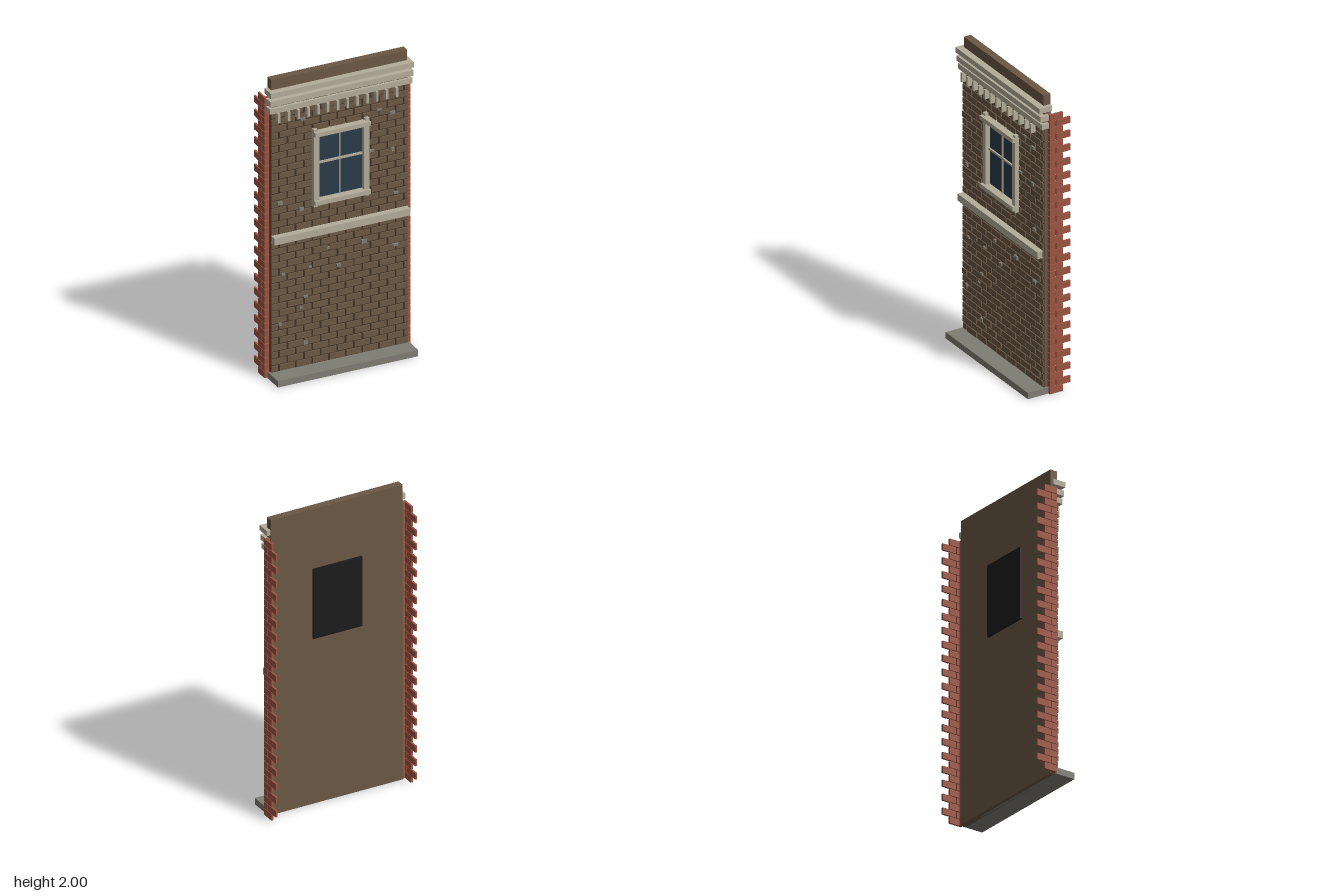
import * as THREE from 'three';
import { mergeGeometries } from 'three/addons/utils/BufferGeometryUtils.js';

const mat = (name, color) => {
  const m = new THREE.MeshStandardMaterial({ color });
  m.name = name;
  return m;
};

// box geometry from its minimum and maximum on each axis
function span(x0, x1, y0, y1, z0, z1) {
  const g = new THREE.BoxGeometry(x1 - x0, y1 - y0, z1 - z0);
  g.translate((x0 + x1) / 2, (y0 + y1) / 2, (z0 + z1) / 2);
  return g;
}

export function createModel() {
  const group = new THREE.Group();
  group.name = 'brickFacade';
  const brown = mat('brown brick', 0x6b5845);
  const mortar = mat('dark mortar', 0x3d3228);
  const red = mat('red brick', 0x9c5442);
  const stone = mat('pale stone', 0xb5ad99);
  const grey = mat('grey stone', 0x7f7d74);
  const glass = mat('window glass', 0x2b3b4a);
  const black = mat('black panel', 0x1c1c1c);

  const add = (name, material, boxes) => {
    const mesh = new THREE.Mesh(mergeGeometries(boxes), material);
    mesh.name = name;
    group.add(mesh);
  };

  let seed = 7;
  const rand = () => (seed = (seed * 16807) % 2147483647) / 2147483647;

  // wall, parapet and the mortar face behind the bricks
  add('wall', brown, [span(-0.455, 0.455, 0, 1.885, -0.025, 0.02)]);
  add('parapet', brown, [span(-0.453, 0.453, 1.885, 2, -0.025, 0.024)]);
  add('mortarFace', mortar, [span(-0.455, 0.455, 0.04, 1.885, 0.02, 0.024)]);

  // running-bond bricks, cut around the window
  const pitch = 0.0458, step = 0.111, bricks = [];
  for (let r = 1; r < 41; r++) {
    const y0 = r * pitch + 0.002, y1 = y0 + 0.037;
    const atWindow = y1 > 1.13 && y0 < 1.59;
    for (let x = -0.455 - (r % 2) * step / 2; x < 0.455; x += step) {
      const a = Math.max(x, -0.455), b = Math.min(x + step - 0.011, 0.455);
      const z = 0.03 + rand() * 0.004;
      const parts = atWindow ? [[a, Math.min(b, -0.17)], [Math.max(a, 0.17), b]] : [[a, b]];
      for (const [p, q] of parts) if (q - p > 0.008) bricks.push(span(p, q, y0, y1, 0.022, z));
    }
  }
  add('frontBricks', brown, bricks);

  // small chips of stone scattered over the wall
  const chips = [[0.26, 1.65], [0.35, 1.61], [-0.25, 1.7], [-0.4, 1.17], [-0.26, 1.1], [0.37, 1.07],
    [0.21, 1.385], [0.35, 1.365], [-0.22, 0.91], [-0.08, 0.8], [0.16, 0.79], [0.37, 0.72], [-0.2, 0.7],
    [-0.01, 0.67], [-0.38, 0.69], [-0.23, 0.51], [-0.26, 0.44], [-0.4, 0.36], [-0.23, 0.2]];
  add('stoneChips', grey, chips.map(([x, y]) => {
    const w = 0.009 + rand() * 0.008, h = 0.005 + rand() * 0.007;
    return span(x - w, x + w, y - h, y + h, 0.024, 0.043);
  }));

  // toothed red brick returns on both sides
  for (const s of [1, -1]) {
    const side = [];
    const put = (a, b, y0, y1, z0, z1) => side.push(span(Math.min(s * a, s * b), Math.max(s * a, s * b), y0, y1, z0, z1));
    for (let r = 0; r < 41; r++) {
      const y0 = r * pitch + 0.002, y1 = y0 + 0.042;
      if (r % 2) {
        put(0.473, 0.486, y0, y1, -0.04, 0);
        put(0.473, 0.486, y0, y1, -0.143, -0.046);
      } else put(0.473, 0.486, y0, y1, -0.09, 0);
      put(0.455, 0.473, y0, y1, -0.02, 0);
    }
    add(s > 0 ? 'leftSideBricks' : 'rightSideBricks', red, side);
  }

  // plinth, string course and stepped cornice
  add('plinth', grey, [span(-0.467, 0.467, 0, 0.042, 0, 0.143)]);
  add('stringCourse', stone, [span(-0.453, 0.453, 0.912, 0.958, 0.02, 0.068)]);
  add('cornice', stone, [
    span(-0.477, 0.477, 1.897, 1.932, -0.02, 0.068),
    span(-0.477, 0.477, 1.838, 1.874, 0, 0.06),
    span(-0.475, 0.475, 1.784, 1.819, 0, 0.05),
  ]);
  const dentils = [];
  for (let i = 0; i < 13; i++) {
    const x = -0.418 + i * 0.0653;
    dentils.push(span(x - 0.008, x + 0.008, 1.722, 1.784, 0.02, 0.064));
  }
  add('dentils', stone, dentils);

  // window
  add('windowGlass', glass, [span(-0.155, 0.155, 1.14, 1.585, 0.02, 0.028)]);
  add('glazingBars', stone, [
    span(-0.004, 0.004, 1.14, 1.585, 0.024, 0.036),
    span(-0.15, 0.15, 1.378, 1.391, 0.024, 0.038),
  ]);
  const frame = [
    span(-0.185, 0.185, 1.577, 1.605, 0.02, 0.078),
    span(-0.185, 0.185, 1.12, 1.148, 0.02, 0.078),
  ];
  for (const s of [1, -1]) {
    const x = s * 0.167, c = s * 0.172;
    frame.push(span(x - 0.018, x + 0.018, 1.148, 1.577, 0.02, 0.06));
    frame.push(span(c - 0.013, c + 0.013, 1.605, 1.62, 0.02, 0.058));
    frame.push(span(c - 0.013, c + 0.013, 1.103, 1.12, 0.02, 0.058));
  }
  add('windowFrame', stone, frame);
  add('windowBackPanel', black, [span(-0.168, 0.168, 1.125, 1.595, -0.04, -0.025)]);

  return group;
}
